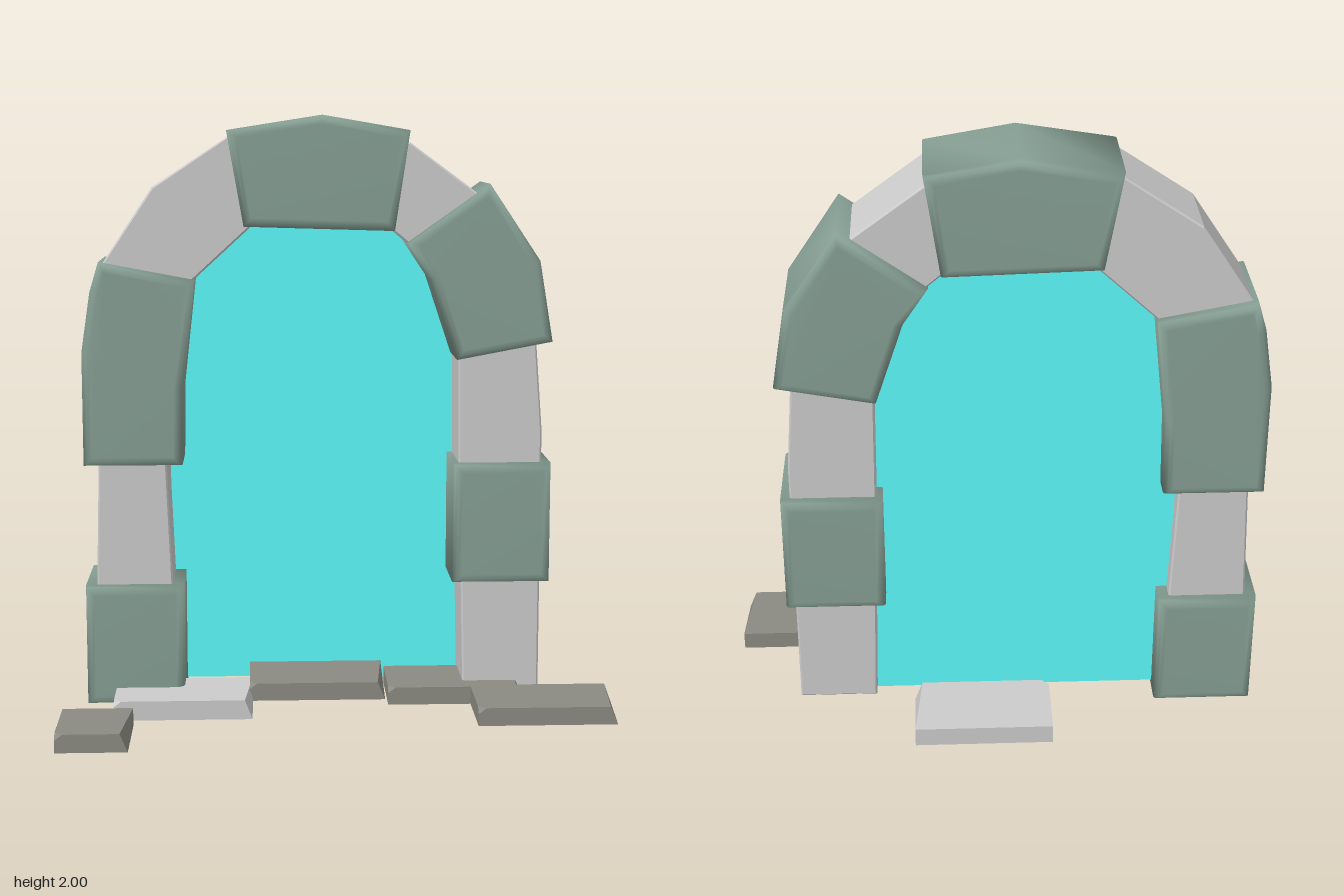
import * as THREE from 'three';
import { mergeVertices } from 'three/addons/utils/BufferGeometryUtils.js';
import { ConvexGeometry } from 'three/addons/geometries/ConvexGeometry.js';

const MID_Z = -0.16; // middle of the arch's thickness

const mat = (color, extra = {}) => new THREE.MeshStandardMaterial({ color, ...extra });
const outline = (pts) => new THREE.Shape(pts.map(([x, y]) => new THREE.Vector2(x, y)));
const rect = (x0, x1, y0, y1) => [[x0, y0], [x1, y0], [x1, y1], [x0, y1]];

// Block cut to a front outline, with bevelled edges inside that outline
function block(pts, depth, bevel, segments) {
  const geo = new THREE.ExtrudeGeometry(outline(pts), {
    depth: depth - 2 * bevel,
    bevelEnabled: true,
    bevelSize: bevel,
    bevelThickness: bevel,
    bevelOffset: -bevel,
    bevelSegments: segments,
  });
  geo.translate(0, 0, MID_Z - depth / 2 + bevel);
  return geo;
}

// Welded normals give the big stones a worn, pillowy look
function pillow(geo) {
  geo.deleteAttribute('normal');
  geo.deleteAttribute('uv');
  const welded = mergeVertices(geo, 1e-4);
  welded.computeVertexNormals();
  return welded;
}

// Flat paving slab with a slanted right end and a chipped front left corner
function slab(x0, x1, z0, z1, y0, y1) {
  const p = (x, y, z) => new THREE.Vector3(x, y, z);
  return new ConvexGeometry([
    p(x0, y0, z0), p(x1, y0, z0), p(x1, y0, z1), p(x0, y0, z1),
    p(x0, y1, z0), p(x1, y1, z0), p(x1 - 0.025, y1, z1),
    p(x0 + 0.025, y1, z1), p(x0, y1, z1 - 0.025), p(x0, y1 - 0.02, z1),
  ]);
}

export function createModel() {
  const group = new THREE.Group();
  group.name = 'stoneArchPortal';

  const green = mat(0x869f94);
  const grey = mat(0xcccccc, { flatShading: true });
  const dark = mat(0x8b8b82, { flatShading: true });
  const glow = mat(0x5cfbfb, { side: THREE.DoubleSide });

  const add = (name, geo, material) => {
    const mesh = new THREE.Mesh(geo, material);
    mesh.name = name;
    group.add(mesh);
  };

  // Large rounded stones
  const bigStones = {
    leftBaseStone: rect(-0.85, -0.52, 0.02, 0.43),
    leftShoulderStone: [[-0.85, 0.84], [-0.52, 0.84], [-0.515, 1.1], [-0.475, 1.46],
      [-0.79, 1.52], [-0.82, 1.42], [-0.85, 1.22]],
    keystone: [[-0.31, 1.635], [0.19, 1.62], [0.24, 1.95], [-0.05, 2.0], [-0.365, 1.95]],
    rightShoulderStone: [[0.4, 1.19], [0.72, 1.25], [0.675, 1.52], [0.505, 1.775],
      [0.23, 1.58], [0.31, 1.46]],
    rightMiddleStone: rect(0.39, 0.72, 0.43, 0.84),
  };
  for (const [name, pts] of Object.entries(bigStones)) {
    add(name, pillow(block(pts, 0.36, 0.03, 3)), green);
  }

  // Slimmer cut stones between them
  const slimStones = {
    leftPostStone: [[-0.815, 0.38], [-0.555, 0.38], [-0.575, 0.88], [-0.8, 0.88]],
    leftArchStone: [[-0.52, 1.42], [-0.28, 1.64], [-0.33, 1.95], [-0.61, 1.765],
      [-0.8, 1.48]],
    rightArchStone: [[0.16, 1.64], [0.28, 1.54], [0.52, 1.7], [0.47, 1.74], [0.24, 1.91],
      [0.2, 1.91]],
    rightPostStone: [[0.41, 0.8], [0.69, 0.8], [0.69, 0.95], [0.665, 1.28], [0.405, 1.28]],
    rightBaseStone: [[0.43, 0.05], [0.69, 0.05], [0.69, 0.47], [0.42, 0.47]],
  };
  for (const [name, pts] of Object.entries(slimStones)) {
    add(name, block(pts, 0.28, 0.006, 1), grey);
  }

  // Glowing sheet filling the opening
  const sheet = new THREE.ShapeGeometry(outline([
    [-0.56, 0.04], [0.43, 0.04], [0.415, 1.2], [0.29, 1.54], [0.19, 1.64],
    [-0.3, 1.65], [-0.49, 1.46], [-0.53, 1.1], [-0.57, 0.8],
  ]));
  sheet.translate(0, 0, -0.24);
  add('portalSheet', sheet, glow);

  // Paving slabs: x range, z range, y range
  add('leftOuterSlab', slab(-0.91, -0.68, 0.25, 0.52, 0.02, 0.08), dark);
  add('leftSlab', slab(-0.75, -0.29, -0.09, 0.18, 0.015, 0.08), grey);
  add('middleSlab', slab(-0.3, 0.16, -0.23, 0.04, 0.035, 0.095), dark);
  add('rightSlab', slab(0.17, 0.63, -0.21, 0.055, 0.02, 0.08), dark);
  add('rightOuterSlab', slab(0.45, 0.91, 0.035, 0.3, 0.02, 0.08), dark);
  add('backSlab', slab(-0.16, 0.3, -0.52, -0.26, 0, 0.065), grey);

  return group;
}
